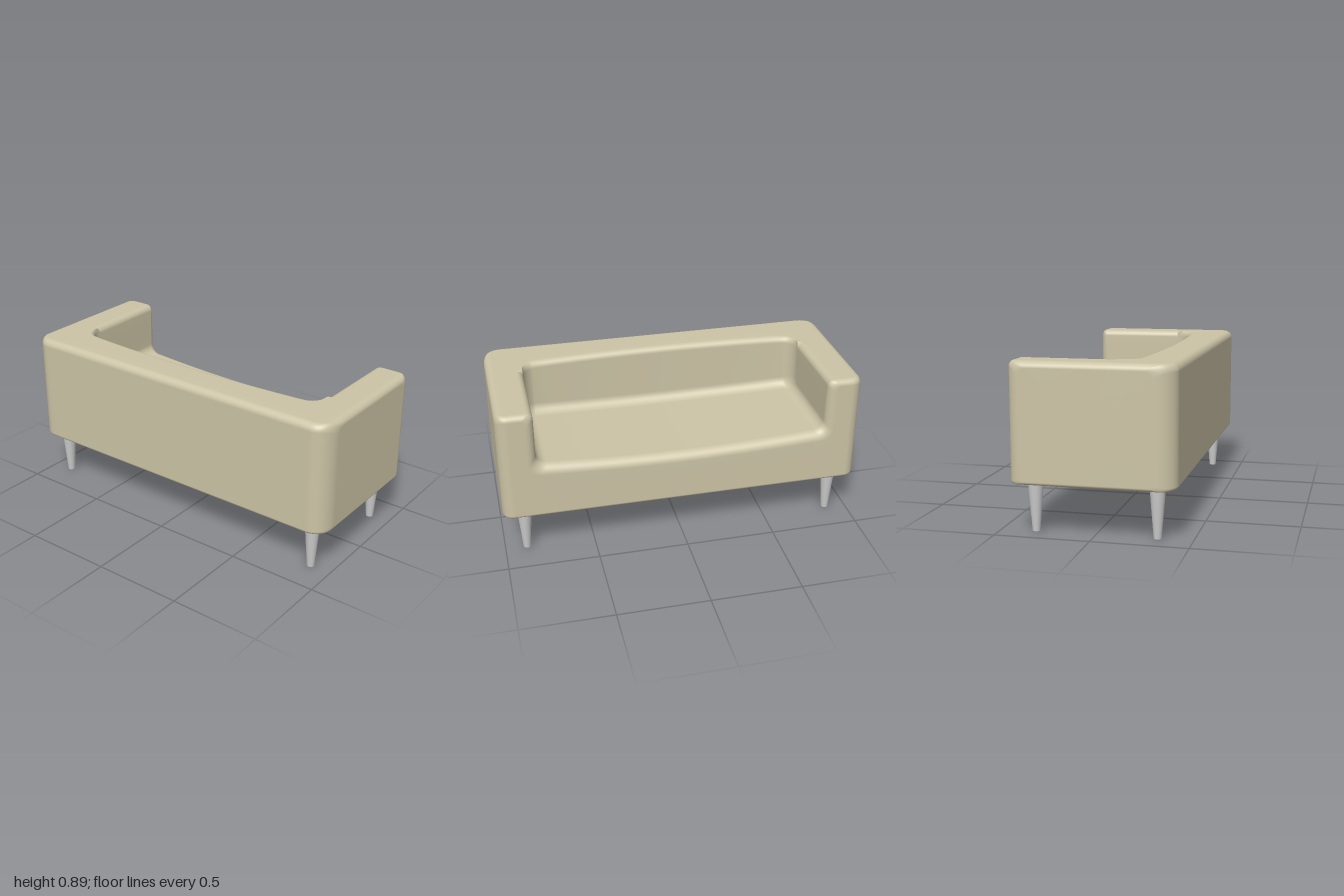
import * as THREE from 'three';
import { mergeVertices } from 'three/addons/utils/BufferGeometryUtils.js';

const BACK = -0.428, FRONT = 0.422, BASE = 0.265, TOP = 0.887;
const INNER = 0.8;          // inner face of the arms
const ARC = 7;              // segments per rounded corner

// elliptical inset that grows from 0 to size as u reaches the end of the sofa
const endInset = (u, size, depth) => {
  const t = Math.min(1, Math.max(0, (u - 1 + depth) / depth));
  return size * (1 - Math.sqrt(1 - t * t));
};

// inner face of the backrest: gentle bow with rounded ends
function backrestX(u) {
  const v = Math.min(u, INNER), t = Math.max(0, (v - 0.72) / 0.08);
  return -0.213 + 0.038 * (v / INNER) ** 2 + 0.08 * (1 - Math.sqrt(Math.max(0, 1 - t * t)));
}

// path from seat centre up the arm wall to the arm's outer end: [u, seat height]
function halfPath() {
  const path = [], seat = u => 0.549 + 0.026 * (u / 0.74) ** 2;
  for (let i = 0; i <= 18; i++) path.push([0.74 * i / 18, seat(0.74 * i / 18)]);
  for (let i = 1; i <= 12; i++) {                       // fillet into the arm
    const a = Math.PI / 2 * i / 12;
    path.push([0.74 + 0.06 * Math.sin(a), 0.575 + 0.055 * (1 - Math.cos(a))]);
  }
  for (let i = 1; i <= 5; i++) path.push([INNER, 0.63 + (TOP - 0.035 - 0.63) * i / 5]);
  for (let i = 1; i <= 8; i++) {                        // rounded top of the arm
    const a = Math.PI / 2 * i / 8;
    path.push([INNER + 0.035 * (1 - Math.cos(a)), TOP - 0.035 * (1 - Math.sin(a))]);
  }
  path.push([0.87, TOP]);
  for (let i = 0; i <= 16; i++) path.push([0.9 + 0.1 * Math.sin(Math.PI / 2 * i / 16), TOP]);
  return path;
}

// closed outline of the sofa at one station, as rounded corners
function section(u, seatY) {
  const top = TOP - endInset(u, 0.035, 0.04), base = BASE + endInset(u, 0.018, 0.02);
  const back = BACK + endInset(u, 0.12, 0.1), front = FRONT - endInset(u, 0.065, 0.065);
  const seat = Math.min(seatY, top), drop = top - seat, b = backrestX(u);
  const corners = [
    [back, base, 0.018], [back, top, 0.04],
    [b, top, Math.min(0.035, drop / 2)], [b, seat, Math.min(0.055, drop / 2)],
    [front, seat, 0.032 + 0.02 * Math.min(1, drop / 0.3)], [front, base, 0.018],
  ];
  // directions of the edges entering and leaving each corner
  const dirs = [[0, 1], [1, 0], [0, -1], [1, 0], [0, -1], [-1, 0]];
  const points = [];
  corners.forEach(([x, y, r], k) => {
    const p = dirs[(k + 5) % 6], n = dirs[k];
    for (let i = 0; i <= ARC; i++) {
      const a = Math.PI / 2 * i / ARC, f = r * (1 - Math.sin(a)), g = r * (1 - Math.cos(a));
      points.push([x - p[0] * f + n[0] * g, y - p[1] * f + n[1] * g]);
    }
  });
  return points;
}

// rounds the inner front edge of the arms
function frontShift(u, x) {
  const r = 0.045, t = Math.min(1, Math.max(0, (x - FRONT + r) / r));
  const w = u < INNER ? Math.max(0, (u - 0.5) / 0.3) : Math.max(0, (0.95 - u) / 0.15);
  return w * r * (1 - Math.sqrt(1 - t * t));
}

function bodyGeometry() {
  const half = halfPath();
  const stations = [
    ...half.slice(1).reverse().map(([u, s]) => [u, s, -1]),
    ...half.map(([u, s]) => [u, s, 1]),
  ];
  const positions = [], index = [], n = 6 * (ARC + 1);
  for (const [u, s, side] of stations)
    for (const [x, y] of section(u, s)) positions.push(x, y, side * (u + frontShift(u, x)));
  for (let i = 0; i < stations.length - 1; i++)
    for (let j = 0; j < n; j++) {
      const k = (j + 1) % n, a = i * n + j, c = i * n + k;
      index.push(a, a + n, c, c, a + n, c + n);
    }
  // end caps
  const last = (stations.length - 1) * n, mid = stations.length * n;
  positions.push(0, 0.57, -1, 0, 0.57, 1);
  for (let j = 0; j < n; j++) {
    const k = (j + 1) % n;
    index.push(mid, j, k, mid + 1, last + k, last + j);
  }
  let geometry = new THREE.BufferGeometry();
  geometry.setAttribute('position', new THREE.Float32BufferAttribute(positions, 3));
  geometry.setIndex(index);
  geometry = mergeVertices(geometry, 1e-5);
  geometry.computeVertexNormals();
  return geometry;
}

export function createModel() {
  const sofa = new THREE.Group();
  sofa.name = 'sofa';

  const fabric = new THREE.MeshStandardMaterial({ color: 0xccc4a6 });
  const grey = new THREE.MeshStandardMaterial({ color: 0xcccccc });

  const body = new THREE.Mesh(bodyGeometry(), fabric);
  body.name = 'upholsteredBody';
  sofa.add(body);

  // tapered legs with softened feet
  const profile = [[0, 0], [0.017, 0], [0.0205, 0.004], [0.041, 0.262], [0.041, 0.275], [0, 0.275]];
  const legGeometry = new THREE.LatheGeometry(profile.map(p => new THREE.Vector2(...p)), 28);
  for (const x of [-0.319, 0.314])
    for (const z of [-0.88, 0.88]) {
      const leg = new THREE.Mesh(legGeometry, grey);
      leg.name = (x > 0 ? 'front' : 'back') + 'Leg';
      leg.position.set(x, 0, z);
      sofa.add(leg);
    }
  return sofa;
}
